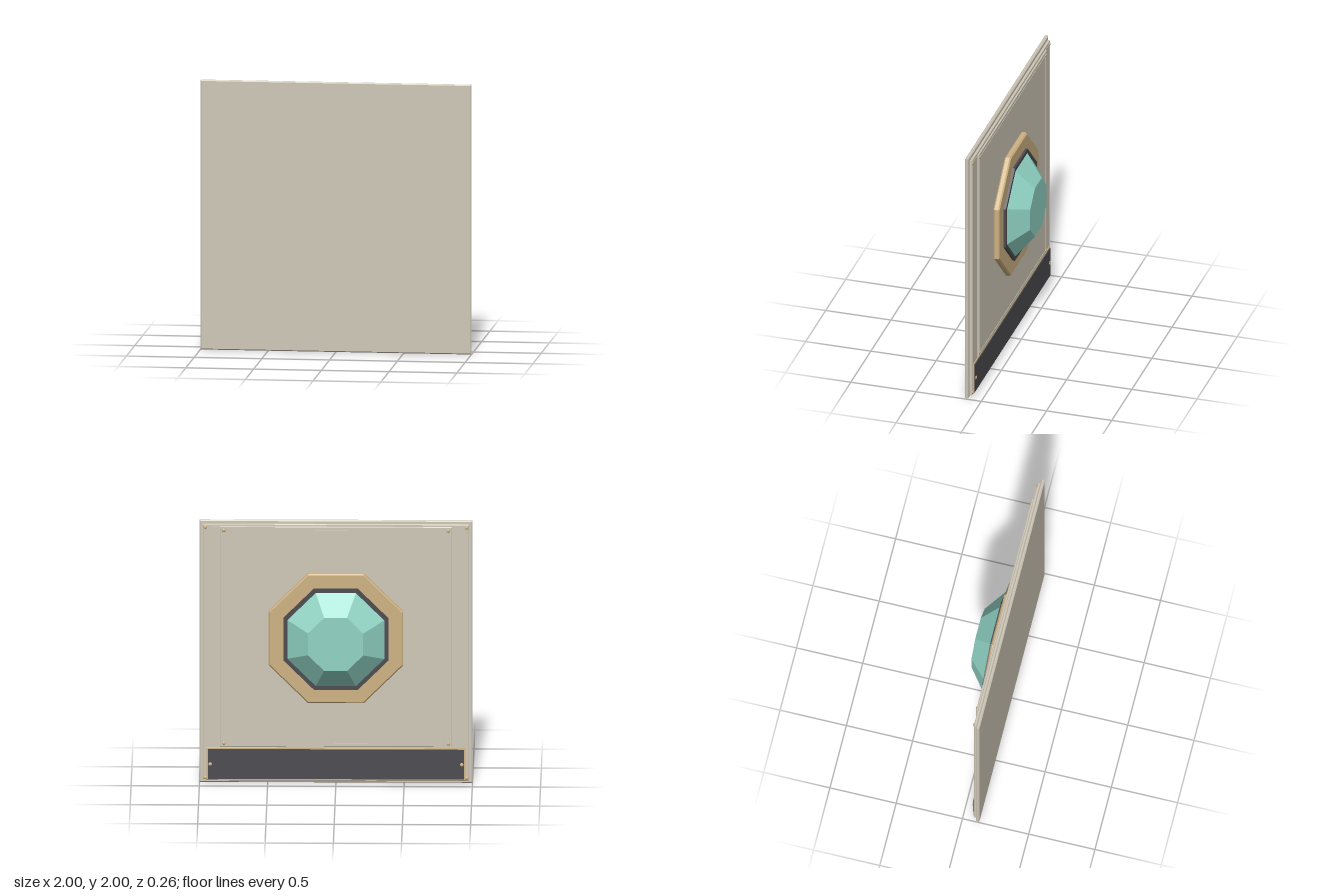
import * as THREE from 'three';

const mat = (name, color) => {
  const m = new THREE.MeshStandardMaterial({ color });
  m.name = name;
  return m;
};

export function createModel() {
  const stone = mat('pale stone', 0xcfc8b8);
  const gold = mat('muted gold', 0xceb283);
  const dark = mat('charcoal', 0x4b4b50);
  const teal = mat('teal crystal', 0x90d3c4);

  const model = new THREE.Group();
  model.name = 'wallPanel';
  const add = (name, geometry, material, x = 0, y = 0, z = 0) => {
    const mesh = new THREE.Mesh(geometry, material);
    mesh.name = name;
    mesh.position.set(x, y, z);
    model.add(mesh);
    return mesh;
  };

  // Chamfered slab from an outline, spanning depth zBack..zFront
  const slab = (name, points, zBack, zFront, bevel, material, y = 0) => {
    const geometry = new THREE.ExtrudeGeometry(new THREE.Shape(points), {
      depth: zFront - zBack - 2 * bevel, bevelEnabled: bevel > 0,
      bevelThickness: bevel, bevelSize: bevel, bevelOffset: -bevel, bevelSegments: 1,
    });
    return add(name, geometry, material, 0, y, zBack + bevel);
  };
  const rect = (halfW, y0, y1) => [[-halfW, y0], [halfW, y0], [halfW, y1], [-halfW, y1]]
    .map(([x, y]) => new THREE.Vector2(x, y));
  const octagon = (apothem) => Array.from({ length: 8 }, (_, i) => {
    const a = (i + 0.5) * Math.PI / 4, r = apothem / Math.cos(Math.PI / 8);
    return new THREE.Vector2(Math.cos(a) * r, Math.sin(a) * r);
  });

  // Stepped panel layers
  slab('frontPanel', rect(1, 0, 2), 0.1, 0.127, 0.008, stone);
  slab('middlePanel', rect(0.975, 0.02, 1.975), 0.08, 0.1, 0.004, stone);
  slab('backPanel', rect(0.85, 0.282, 1.96), 0.066, 0.08, 0.004, stone);

  // Lower band: backing tray with a dark inlay
  slab('bandTray', rect(0.95, 0.025, 0.272), 0.072, 0.08, 0.002, gold);
  slab('bandInlay', rect(0.938, 0.036, 0.262), 0.066, 0.072, 0, dark);

  // Domed rivets
  const rivetGeo = new THREE.SphereGeometry(0.014, 12, 6, 0, Math.PI * 2, 0, Math.PI / 2);
  rivetGeo.rotateX(-Math.PI / 2);
  rivetGeo.scale(1, 1, 0.6);
  const rivets = (name, x, ys, z) => {
    for (const side of [-1, 1]) for (const y of ys) add(name, rivetGeo, gold, side * x, y, z);
  };
  rivets('middleRivet', 0.957, [0.043, 1.952], 0.08);
  rivets('backRivet', 0.822, [0.308, 1.932], 0.066);
  rivets('bandRivet', 0.922, [0.148], 0.066);

  // Thin beading that runs from rivet to rivet
  const beading = (name, x, y0, y1, z) => {
    const t = 0.006;
    for (const side of [-1, 1]) {
      add(name, new THREE.BoxGeometry(t, y1 - y0, t), stone, side * x, (y0 + y1) / 2, z);
    }
    for (const y of [y0, y1]) add(name, new THREE.BoxGeometry(2 * x, t, t), stone, 0, y, z);
  };
  beading('middleBeading', 0.957, 0.043, 1.952, 0.08);
  beading('backBeading', 0.822, 0.308, 1.932, 0.066);

  // Octagonal mount, gasket and faceted crystal
  const cy = 1.12;
  slab('crystalMount', octagon(0.493), 0.018, 0.066, 0.01, gold, cy);
  slab('crystalGasket', octagon(0.385), 0, 0.018, 0, dark, cy);
  const k = 1 / Math.cos(Math.PI / 8);
  const crystal = new THREE.CylinderGeometry(0.202 * k, 0.355 * k, 0.13, 8, 1, false, Math.PI / 8)
    .rotateX(-Math.PI / 2).toNonIndexed();
  crystal.computeVertexNormals();
  add('crystal', crystal, teal, 0, cy, -0.065);

  return model;
}
